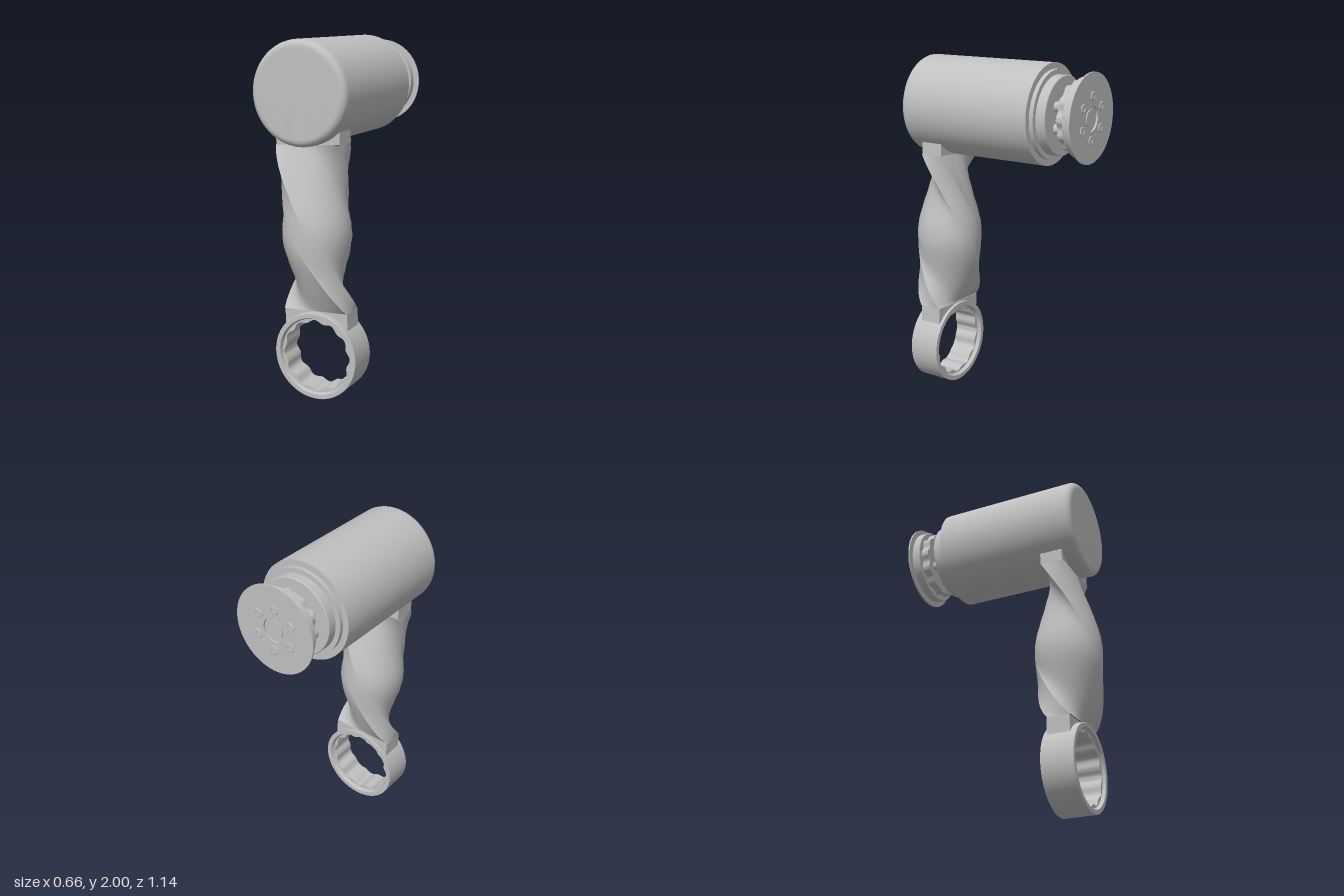
import * as THREE from 'three';
import { toCreasedNormals } from 'three/addons/utils/BufferGeometryUtils.js';

const steel = new THREE.MeshStandardMaterial({ color: 0xc0c0c0 });
steel.name = 'light grey steel';

function add(parent, name, geometry) {
  const mesh = new THREE.Mesh(geometry, steel);
  mesh.name = name;
  parent.add(mesh);
  return mesh;
}

// Solid of revolution about z; the profile is [radius, z] pairs with the outside running towards +z
function turned(profile, segments = 72) {
  const pts = profile.map(([r, z]) => new THREE.Vector2(r, z));
  const g = new THREE.LatheGeometry(pts, segments);
  g.rotateX(Math.PI / 2);
  return toCreasedNormals(g, 0.5);
}

const disc = (r, z0, z1, segments) => turned([[0, z0], [r, z0], [r, z1], [0, z1]], segments);

// Twelve-lobed outline
function lobedPoints(r, amp) {
  const pts = [];
  for (let i = 0; i < 144; i++) {
    const a = (i / 144) * Math.PI * 2;
    const q = r + amp * Math.cos(12 * a);
    pts.push(new THREE.Vector2(q * Math.cos(a), q * Math.sin(a)));
  }
  return pts;
}

function extruded(shape, z0, z1) {
  const g = new THREE.ExtrudeGeometry(shape, { depth: z1 - z0, bevelEnabled: false, curveSegments: 48 });
  g.translate(0, 0, z0);
  return toCreasedNormals(g, 0.6);
}

// Handle that twists half a turn while its section swells from a bar to a circle
function twistedHandle(y0, y1, zc, a, b, radius) {
  const rows = 72, cols = 14;
  const corners = [[-a, b], [a, b], [a, -b], [-a, -b]];
  const pos = [], index = [];
  for (let s = 0; s < 4; s++) {
    const [xa, za] = corners[s], [xb, zb] = corners[(s + 1) % 4];
    const base = pos.length / 3;
    for (let j = 0; j <= rows; j++) {
      const u = j / rows;
      const v = u ** 0.9; // the turn is a little quicker near the ring
      const w = Math.sin(Math.PI * v) ** 1.2;
      const waist = 1 - 0.07 * Math.sin(2 * Math.PI * v) ** 2;
      const c = Math.cos(-Math.PI * v), n = Math.sin(-Math.PI * v);
      for (let i = 0; i <= cols; i++) {
        let x = THREE.MathUtils.lerp(xa, xb, i / cols);
        let z = THREE.MathUtils.lerp(za, zb, i / cols);
        const k = waist * (1 - w + (w * radius) / Math.hypot(x, z));
        x *= k;
        z *= k;
        pos.push(x * c + z * n, y0 + (y1 - y0) * u, zc - x * n + z * c);
        if (i < cols && j < rows) {
          const p = base + j * (cols + 1) + i, q = p + cols + 1;
          index.push(p, p + 1, q, p + 1, q + 1, q);
        }
      }
    }
  }
  const g = new THREE.BufferGeometry();
  g.setAttribute('position', new THREE.Float32BufferAttribute(pos, 3));
  g.setIndex(index);
  g.computeVertexNormals();
  return g;
}

export function createModel() {
  const model = new THREE.Group();
  model.name = 'twistedWrenchTool';
  model.rotation.y = 0.08;

  // Tool frame: origin on the axis of the ring end
  const tool = new THREE.Group();
  tool.name = 'tool';
  tool.position.set(0.046, 0.251, 0);
  tool.rotation.z = 0.045;
  model.add(tool);

  // Ring end: outer shell with a lobed insert
  add(tool, 'ringShell', turned([
    [0.224, 0.287], [0.251, 0.287], [0.251, 0.474], [0.248, 0.477],
    [0.224, 0.477], [0.214, 0.455], [0.214, 0.309], [0.224, 0.287],
  ], 96));
  const insert = new THREE.Shape().absarc(0, 0, 0.218, 0, Math.PI * 2);
  insert.holes.push(new THREE.Path(lobedPoints(0.2, 0.008)));
  add(tool, 'ringLobes', extruded(insert, 0.308, 0.458));

  // Shoulder saddled on the ring
  const zc = 0.374, half = 0.194, thick = 0.067;
  const seat = Math.acos(half / 0.235);
  const saddle = new THREE.Shape();
  saddle.moveTo(half, 0.256);
  saddle.lineTo(-half, 0.256);
  saddle.absarc(0, 0, 0.235, Math.PI - seat, seat, true);
  saddle.closePath();
  add(tool, 'lowerShoulder', extruded(saddle, zc - thick, zc + thick));

  add(tool, 'twistedHandle', twistedHandle(0.256, 1.185, zc + 0.005, half, thick, 0.194));

  const upper = new THREE.BoxGeometry(half * 2, 0.11, thick * 2);
  upper.translate(0, 1.185 + 0.055, zc);
  add(tool, 'upperShoulder', upper);

  // Head: everything turned about one axis
  const head = new THREE.Group();
  head.name = 'head';
  head.position.y = 1.465;
  tool.add(head);

  const barrel = [[0, -0.312], [0.285, -0.312]];
  for (let i = 0; i <= 8; i++) {
    const a = (i / 8) * (Math.PI / 2);
    barrel.push([0.245 + 0.04 * Math.cos(a), 0.494 + 0.04 * Math.sin(a)]);
  }
  barrel.push([0.24, 0.534], [0, 0.534]);
  add(head, 'barrel', turned(barrel, 96));
  add(head, 'barrelStep', disc(0.25, -0.336, -0.3));
  add(head, 'neckCollar', turned([
    [0, -0.392], [0.218, -0.392], [0.222, -0.388], [0.222, -0.33], [0, -0.33],
  ]));
  add(head, 'centreShaft', disc(0.045, -0.46, -0.38, 32));

  // Lobed drive ring
  add(head, 'driveLobes', extruded(new THREE.Shape(lobedPoints(0.19, 0.008)), -0.5, -0.446));

  // Flange and end plate with a recessed centre
  add(head, 'flange', turned([
    [0, -0.545], [0.217, -0.545], [0.221, -0.541], [0.221, -0.498], [0.217, -0.494], [0, -0.494],
  ]));
  add(head, 'endPlate', turned([
    [0, -0.552], [0.05, -0.552], [0.05, -0.546], [0.07, -0.546], [0.07, -0.557],
    [0.25, -0.557], [0.25, -0.547], [0, -0.542],
  ]));

  // Six pillars, each with a socket bolt
  for (let i = 0; i < 6; i++) {
    const a = Math.PI / 2 + (i * Math.PI) / 3;
    const x = 0.12 * Math.cos(a), y = 0.12 * Math.sin(a);
    add(head, 'pillar', disc(0.027, -0.46, -0.38, 24)).position.set(x, y, 0);
    add(head, 'bolt', turned([
      [0, -0.558], [0.014, -0.558], [0.014, -0.562], [0.024, -0.562], [0.027, -0.56],
      [0.027, -0.55], [0, -0.55],
    ], 24)).position.set(x, y, 0);
  }
  return model;
}
